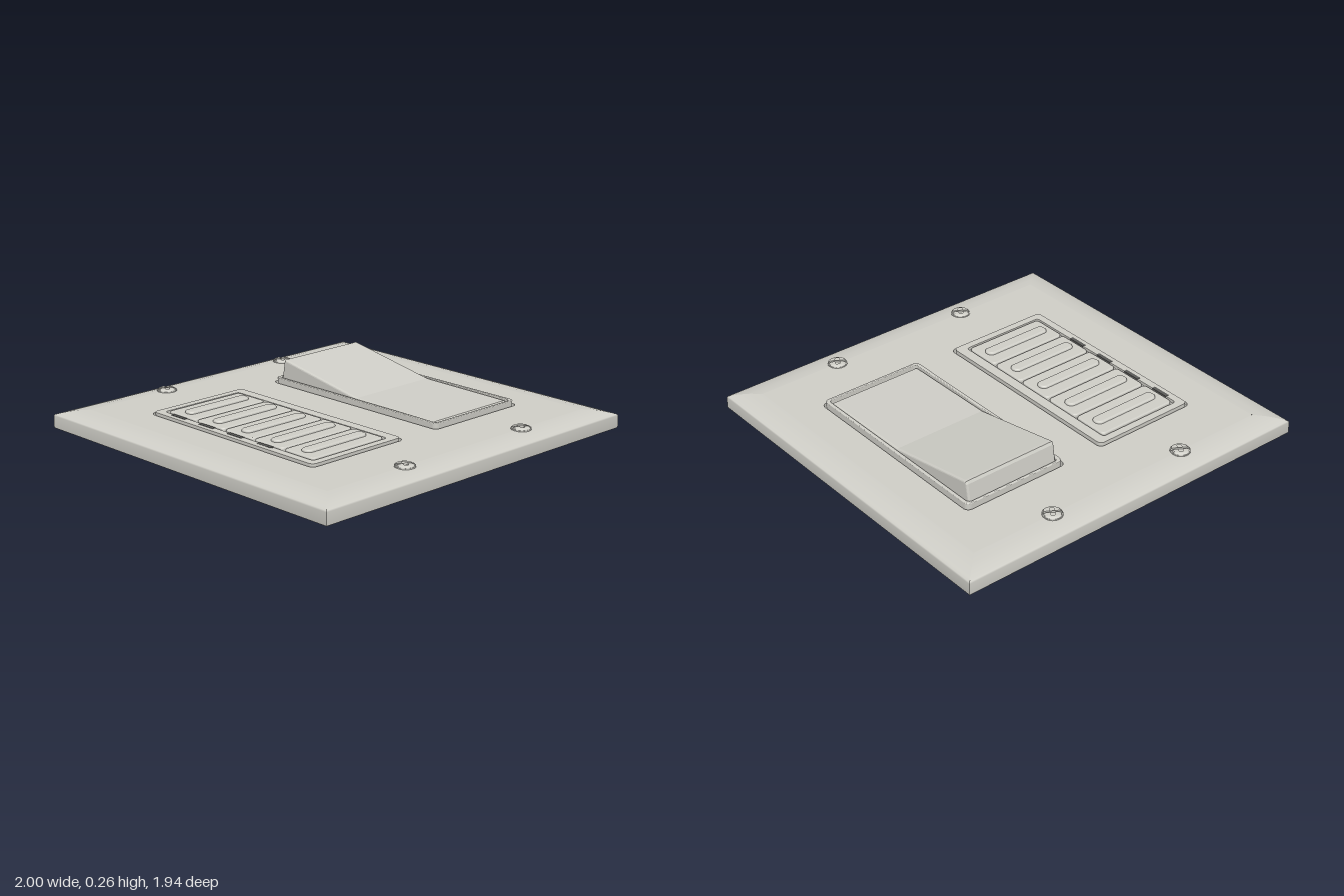
import * as THREE from 'three';

const mat = (name, color, side = THREE.FrontSide) => {
  const m = new THREE.MeshStandardMaterial({ color, side });
  m.name = name;
  return m;
};

export function createModel() {
  const ivory = mat('ivory plastic', 0xd0cfc8);
  const dark = mat('dark grey indicator', 0x5a5a58);
  const black = mat('black backing', 0x050505, THREE.DoubleSide);
  const model = new THREE.Group();
  model.name = 'wallSwitchPlate';

  const add = (name, geometry, material = ivory, x = 0, y = 0, z = 0, parent = model) => {
    const mesh = new THREE.Mesh(geometry, material);
    mesh.name = name;
    mesh.position.set(x, y, z);
    parent.add(mesh);
    return mesh;
  };

  // Rounded rectangle outline, usable as a shape or as a hole
  const roundRect = (w, d, r, cx = 0, cy = 0, Type = THREE.Shape) => {
    const s = new Type(), x = w / 2 - r, y = d / 2 - r;
    s.absarc(cx + x, cy + y, r, 0, Math.PI / 2);
    s.absarc(cx - x, cy + y, r, Math.PI / 2, Math.PI);
    s.absarc(cx - x, cy - y, r, Math.PI, Math.PI * 1.5);
    s.absarc(cx + x, cy - y, r, Math.PI * 1.5, Math.PI * 2);
    s.closePath();
    return s;
  };

  // Extrudes an outline upwards from y0 to y1, keeping its size with the bevel
  const slab = (shape, y0, y1, bevel = 0) => new THREE.ExtrudeGeometry(shape, {
    depth: y1 - y0 - 2 * bevel, bevelEnabled: bevel > 0, bevelThickness: bevel,
    bevelSize: bevel, bevelOffset: -bevel, bevelSegments: 3, curveSegments: 6,
  }).translate(0, 0, y0 + bevel).rotateX(-Math.PI / 2);

  const X = 1, Z = 0.97, BASE = 0.048, TOP = 0.144, INSET = 0.13;
  const bayX = 0.405, bayZ = -0.005;

  // Flat face of the plate with two openings
  const face = roundRect(2 * (X - INSET), 2 * (Z - INSET), 0.001);
  for (const s of [-1, 1]) face.holes.push(roundRect(0.592, 1.15, 0.03, s * bayX, -bayZ, THREE.Path));
  add('plateFace', slab(face, 0.06, TOP));

  // Curved rim: one mitred strip per side, [inset, height]
  const rim = [[0.004, BASE], [0, 0.054], [0, 0.112], [0.004, 0.119], [0.016, 0.124],
    [0.045, 0.133], [0.085, 0.141], [INSET, TOP]];
  for (let side = 0; side < 4; side++) {
    const half = side % 2 ? X : Z, width = side % 2 ? Z : X;
    const pos = [], index = [];
    rim.forEach(([i, y], k) => {
      pos.push(-(width - i), y, half - i, width - i, y, half - i);
      if (k) {
        const a = 2 * k - 2;
        index.push(a, a + 1, a + 3, a, a + 3, a + 2);
      }
    });
    const g = new THREE.BufferGeometry();
    g.setAttribute('position', new THREE.Float32BufferAttribute(pos, 3));
    g.setIndex(index);
    g.computeVertexNormals();
    add('plateRim', g).rotation.y = side * Math.PI / 2;
  }

  // Black underside
  add('backing', new THREE.PlaneGeometry(2 * X - 0.008, 2 * Z - 0.008).rotateX(Math.PI / 2), black, 0, BASE, 0);

  // Dimmer keypad on the right-hand bay
  const keypad = new THREE.Group();
  keypad.name = 'keypad';
  keypad.position.set(-bayX, 0, bayZ);
  model.add(keypad);
  const bezel = roundRect(0.572, 1.13, 0.025);
  bezel.holes.push(roundRect(0.476, 1.05, 0.015, -0.007, 0, THREE.Path));
  add('keypadBezel', slab(bezel, 0.06, 0.155), ivory, 0, 0, 0, keypad);
  add('keypadFloor', slab(roundRect(0.55, 1.1, 0.02), 0.06, 0.138), ivory, 0, 0, 0, keypad);
  for (let i = 0; i < 5; i++) {
    const z = (i - 2) * 0.207;
    add('button', slab(roundRect(0.457, 0.198, 0.022), 0.13, 0.159, 0.008), ivory, -0.005, 0, z, keypad);
    add('buttonRidge', slab(roundRect(0.39, 0.064, 0.03), 0.15, 0.171, 0.01), ivory, -0.005, 0, z, keypad);
    if (i < 4) {
      add('indicator', new THREE.BoxGeometry(0.02, 0.008, 0.1), dark, -0.252, 0.1525, z + 0.004, keypad);
    }
  }

  // Rocker switch in the other bay
  const rockerSwitch = new THREE.Group();
  rockerSwitch.name = 'rockerSwitch';
  rockerSwitch.position.set(bayX, 0, bayZ);
  model.add(rockerSwitch);
  const frame = roundRect(0.572, 1.13, 0.025);
  frame.holes.push(roundRect(0.536, 1.1, 0.02, 0, 0, THREE.Path));
  add('rockerFrame', slab(frame, 0.06, 0.17, 0.004), ivory, 0, 0, 0, rockerSwitch);

  // Tilted paddle: side profile as [z, y], swept across the width
  const paddle = new THREE.Shape([[0.545, 0.002], [0.54, 0.15], [0.525, 0.164], [0, 0.17],
    [-0.505, 0.262], [-0.522, 0.264], [-0.53, 0.25], [-0.546, 0.15], [-0.54, 0.102]]
    .map(([z, y]) => new THREE.Vector2(z, y)));
  const bevel = 0.01, width = 0.522;
  const paddleGeometry = new THREE.ExtrudeGeometry(paddle, {
    depth: width - 2 * bevel, bevelThickness: bevel, bevelSize: bevel,
    bevelOffset: -bevel, bevelSegments: 3,
  }).translate(0, 0, bevel - width / 2).rotateY(-Math.PI / 2);
  add('rockerPaddle', paddleGeometry, ivory, 0.001, 0, 0, rockerSwitch);

  // Slotted screws: shank, base and two domed half heads
  const half = new THREE.Shape();
  half.absarc(0, 0, 0.048, 0.1, Math.PI - 0.1);
  half.closePath();
  for (const x of [-0.385, 0.415]) for (const z of [-0.84, 0.84]) {
    const screw = new THREE.Group();
    screw.name = 'screw';
    screw.position.set(x, 0, z);
    screw.rotation.y = -0.55;
    model.add(screw);
    add('screwShank', new THREE.CylinderGeometry(0.021, 0.021, 0.145, 20), ivory, 0, 0.0725, 0, screw);
    add('screwBase', new THREE.CylinderGeometry(0.05, 0.05, 0.006, 32), ivory, 0, 0.145, 0, screw);
    for (const turn of [0, Math.PI]) {
      const head = new THREE.ExtrudeGeometry(half, {
        depth: 0.002, bevelThickness: 0.009, bevelSize: 0.02, bevelOffset: -0.02,
        bevelSegments: 4, curveSegments: 20,
      });
      // Keep the slot walls straight while the outer edge stays domed
      const p = head.attributes.position;
      for (let i = 0; i < p.count; i++) {
        const px = p.getX(i), py = p.getY(i);
        if (py < 0.0255) p.setY(i, 0.005);
        else p.setXY(i, px, py);
      }
      head.computeVertexNormals();
      add('screwHead', head.translate(0, 0, 0.147).rotateX(-Math.PI / 2), ivory, 0, 0, 0, screw).rotation.y = turn;
    }
  }
  return model;
}
